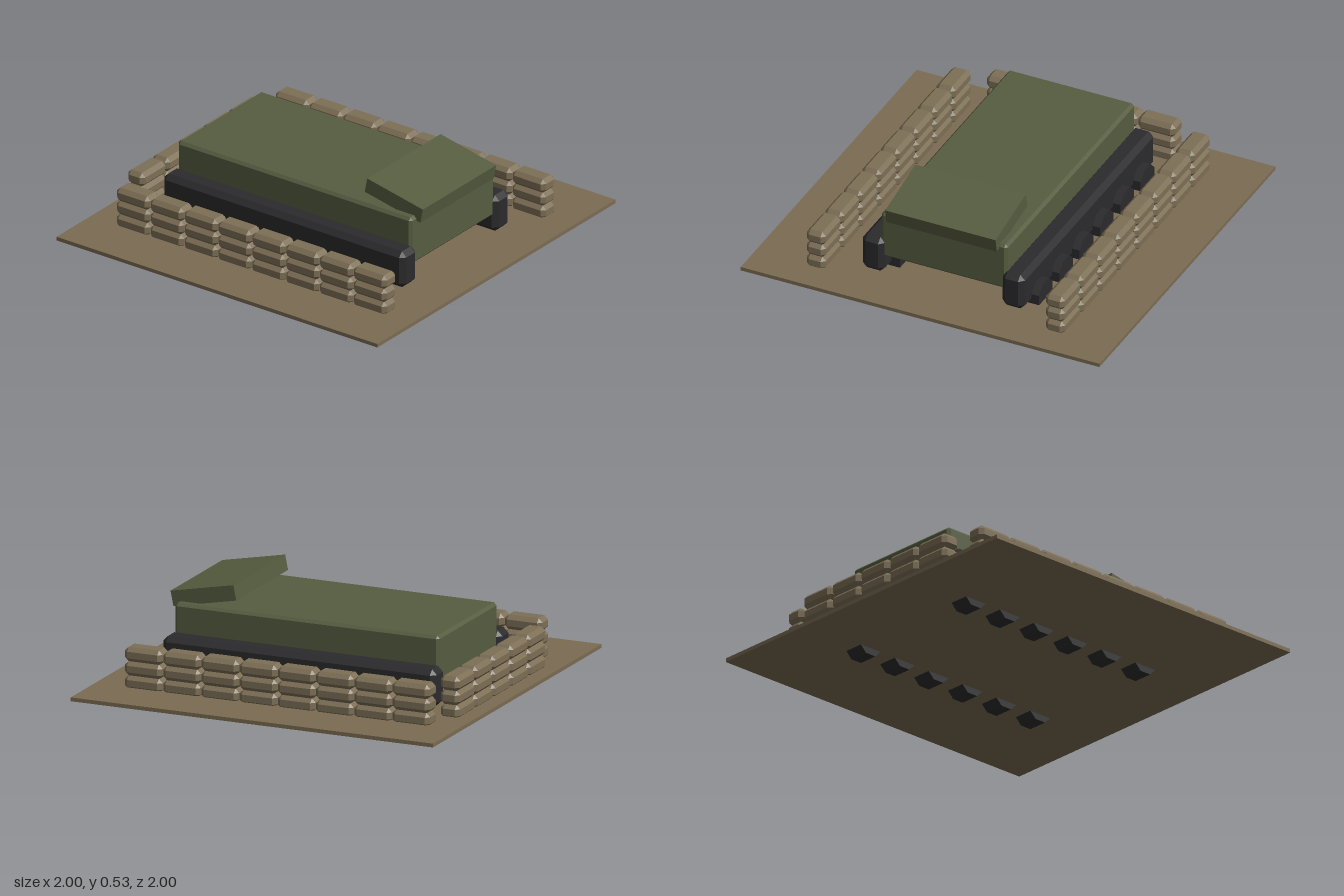
import * as THREE from 'three';
import { ConvexGeometry } from 'three/addons/geometries/ConvexGeometry.js';

// Box with every edge cut by a single flat chamfer
function chamferBox(w, h, d, c) {
  const pts = [];
  for (const sx of [-1, 1]) for (const sy of [-1, 1]) for (const sz of [-1, 1]) {
    const x = w / 2, y = h / 2, z = d / 2;
    pts.push(
      new THREE.Vector3(sx * x, sy * (y - c), sz * (z - c)),
      new THREE.Vector3(sx * (x - c), sy * y, sz * (z - c)),
      new THREE.Vector3(sx * (x - c), sy * (y - c), sz * z)
    );
  }
  return new ConvexGeometry(pts);
}

export function createModel() {
  const model = new THREE.Group();
  model.name = 'dugInVehicle';

  const material = (name, color) => {
    const m = new THREE.MeshStandardMaterial({ color });
    m.name = name;
    return m;
  };
  const earth = material('earth', 0x7b6c52);
  const sandbag = material('sandbag', 0x7d6f56);
  const olive = material('olive', 0x565d40);
  const rubber = material('darkRubber', 0x2b2b2d);

  function add(name, geometry, mat, x, y, z, parent = model) {
    const mesh = new THREE.Mesh(geometry, mat);
    mesh.name = name;
    mesh.position.set(x, y, z);
    parent.add(mesh);
    return mesh;
  }

  // Ground slab
  add('ground', new THREE.BoxGeometry(2, 0.02, 2), earth, 0, 0.045, 0);

  // Hull and tilted front plate
  add('hull', chamferBox(0.704, 0.262, 1.46, 0.015), olive, 0, 0.28, 0);
  const plate = add('frontPlate', new THREE.BoxGeometry(0.616, 0.08, 0.354), olive, 0, 0.455, 0.589);
  plate.rotation.x = 0.2;

  // Tracks, each with six eight-sided road wheels offset toward +x
  const trackGeo = chamferBox(0.125, 0.2, 1.51, 0.027);
  const wheelRadius = 0.0775 / Math.cos(Math.PI / 8);
  const wheelGeo = new THREE.CylinderGeometry(wheelRadius, wheelRadius, 0.107, 8).toNonIndexed();
  wheelGeo.rotateY(Math.PI / 8);
  wheelGeo.rotateZ(Math.PI / 2);
  wheelGeo.computeVertexNormals();
  for (const side of [-1, 1]) {
    const label = side > 0 ? 'left' : 'right';
    add(label + 'Track', trackGeo, rubber, side * 0.39, 0.16, 0);
    for (let i = 0; i < 6; i++) {
      add(label + 'RoadWheel', wheelGeo, rubber, side * 0.388 + 0.053, 0.0775, (i - 2.5) * 0.231);
    }
  }

  // Sandbag walls: three layers, eight bags per side and five at the back
  const bagGeo = chamferBox(0.107, 0.076, 0.208, 0.021);
  function wall(name, count, x, z, turn) {
    const group = new THREE.Group();
    group.name = name;
    group.position.set(x, 0, z);
    group.rotation.y = turn;
    for (let layer = 0; layer < 3; layer++) {
      for (let i = 0; i < count; i++) {
        add('sandbag', bagGeo, sandbag, 0, 0.078 + layer * 0.0735, (i - (count - 1) / 2) * 0.211, group);
      }
    }
    model.add(group);
  }
  wall('leftSandbagWall', 8, 0.667, -0.003, 0);
  wall('rightSandbagWall', 8, -0.667, -0.003, 0);
  wall('rearSandbagWall', 5, 0, -0.867, Math.PI / 2);

  return model;
}
